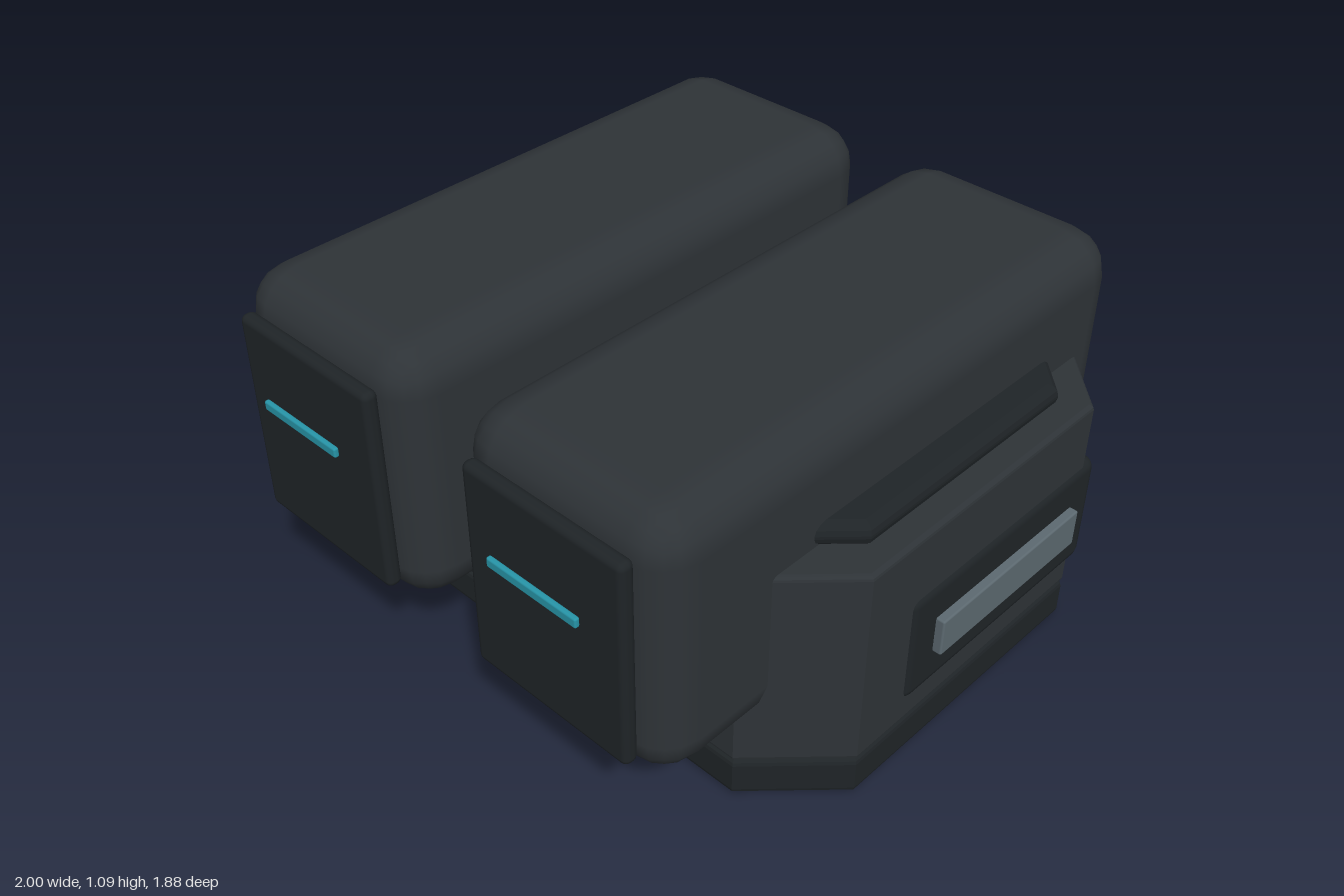
import * as THREE from 'three';
import { RoundedBoxGeometry } from 'three/addons/geometries/RoundedBoxGeometry.js';

const material = (color) => new THREE.MeshStandardMaterial({ color });

export function createModel() {
  const model = new THREE.Group();
  const shell = material(0x2e3337);
  const dark = material(0x1f2427);
  const grey = material(0x5c6970);
  const copper = material(0x94653a);
  const teal = material(0x2795a8);

  function add(name, geometry, mat, x = 0, y = 0, z = 0) {
    const mesh = new THREE.Mesh(geometry, mat);
    mesh.name = name;
    mesh.position.set(x, y, z);
    model.add(mesh);
  }

  // Rounded box given by its [min, max] range on each axis
  function block(name, [x0, x1], [y0, y1], [z0, z1], radius, mat, segments = 2) {
    const geometry = new RoundedBoxGeometry(x1 - x0, y1 - y0, z1 - z0, segments, radius);
    add(name, geometry, mat, (x0 + x1) / 2, (y0 + y1) / 2, (z0 + z1) / 2);
  }

  // Horizontal slab with cut corners and a bevelled rim
  function slab(name, halfWidth, [z0, z1], [y0, y1], cut, bevel, mat) {
    const w = halfWidth;
    const corners = [
      [w - cut, z1], [w, z1 - cut], [w, z0 + cut], [w - cut, z0],
      [cut - w, z0], [-w, z0 + cut], [-w, z1 - cut], [cut - w, z1],
    ];
    const shape = new THREE.Shape(corners.map(([x, z]) => new THREE.Vector2(x, -z)));
    const geometry = new THREE.ExtrudeGeometry(shape, {
      depth: y1 - y0 - 2 * bevel,
      bevelThickness: bevel,
      bevelSize: bevel,
      bevelOffset: -bevel,
      bevelSegments: 3,
    });
    geometry.rotateX(-Math.PI / 2);
    add(name, geometry, mat, 0, y0 + bevel, 0);
  }

  // Stacked housing
  slab('basePlate', 0.965, [-0.83, 0.558], [0, 0.127], 0.225, 0.02, dark);
  slab('housing', 0.965, [-0.83, 0.558], [0.127, 0.755], 0.225, 0.014, shell);
  slab('topDeck', 0.893, [-0.762, 0.487], [0.752, 0.82], 0.23, 0.03, dark);

  // Rear connector with two contacts
  block('rearConnector', [-0.55, 0.55], [0.26, 0.44], [-0.875, -0.76], 0.03, dark);
  for (const x of [-0.063, 0.063]) {
    block('contact', [x - 0.033, x + 0.033], [0.28, 0.4], [-0.895, -0.86], 0.004, copper, 1);
  }

  for (const side of [-1, 1]) {
    const across = (a, b) => (side > 0 ? [a, b] : [-b, -a]);

    // Long rounded module with front panel and light bar
    block('module', across(0.092, 0.797), [0.27, 1.09], [-0.943, 0.863], 0.13, shell);
    block('frontPanel', across(0.178, 0.713), [0.36, 0.995], [0.86, 0.907], 0.02, dark);
    block('lightBar', across(0.292, 0.597), [0.763, 0.793], [0.926, 0.942], 0.006, teal);

    // Side panel with raised strip
    block('sidePanel', across(0.875, 0.974), [0.2, 0.557], [-0.665, 0.165], 0.035, dark);
    block('sideStrip', across(0.955, 1.0), [0.322, 0.44], [-0.557, 0.056], 0.006, grey);
  }
  return model;
}
